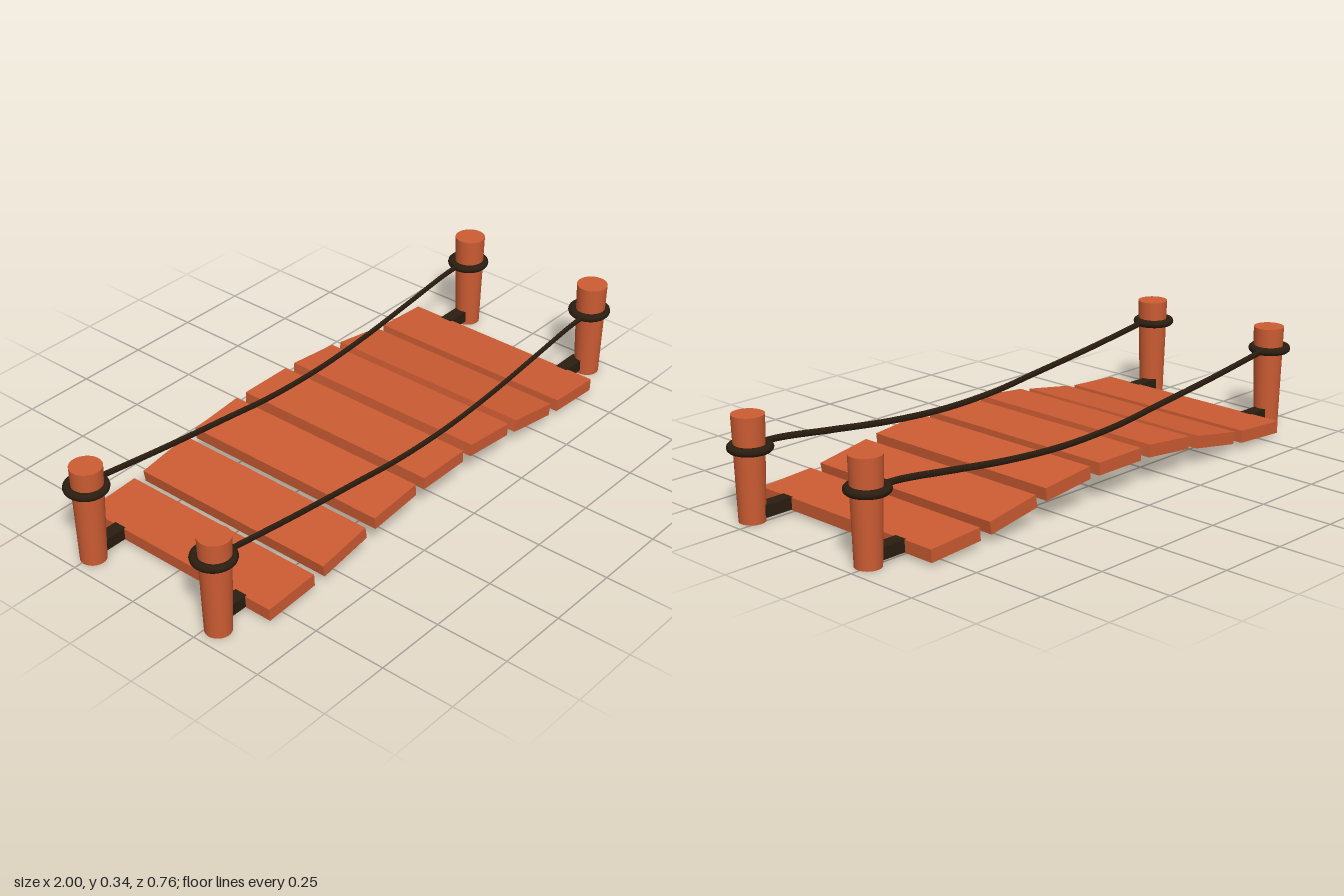
import * as THREE from 'three';

const wood = new THREE.MeshStandardMaterial({ color: 0xcc5c33 });
const dark = new THREE.MeshStandardMaterial({ color: 0x2b1d10 });

function add(parent, name, geometry, material, x = 0, y = 0, z = 0) {
  const mesh = new THREE.Mesh(geometry, material);
  mesh.name = name;
  mesh.position.set(x, y, z);
  parent.add(mesh);
  return mesh;
}

export function createModel() {
  const bridge = new THREE.Group();
  bridge.name = 'ropeBridge';

  // Arched deck of seven tilted planks, listed from the middle outwards
  const plankY = [0.112, 0.102, 0.067, 0.0385];
  const plankTilt = [0, 0.1, 0.165, 0.06];
  const plankGeometry = new THREE.BoxGeometry(0.197, 0.042, 0.756);
  for (let i = -3; i <= 3; i++) {
    const k = Math.abs(i);
    const plank = add(bridge, 'plank', plankGeometry, wood, i * 0.2378 - 0.003, plankY[k], 0);
    plank.rotation.z = -Math.sign(i) * plankTilt[k];
  }

  // Tapered posts with dark undersides, rope rings and short ties to the deck
  const postGeometry = new THREE.CylinderGeometry(0.052, 0.042, 0.34, 32);
  const ringGeometry = new THREE.TorusGeometry(0.058, 0.0138, 12, 40).rotateX(Math.PI / 2);
  const tieGeometry = new THREE.BoxGeometry(0.11, 0.04, 0.045);
  const sides = [
    { post: 0.28, ring: 0.275, tie: 0.26, rope: 0.287 },
    { post: -0.243, ring: -0.248, tie: -0.245, rope: -0.255 },
  ];
  for (const side of sides) {
    for (const s of [-1, 1]) {
      add(bridge, 'post', postGeometry, [wood, wood, dark], s * 0.928, 0.17, side.post);
      add(bridge, 'ropeRing', ringGeometry, dark, s * 0.928, s < 0 ? 0.264 : 0.237, side.ring);
      add(bridge, 'deckTie', tieGeometry, dark, s * 0.85, 0.034, side.tie);
    }

    // Sagging handrail rope, flattened sideways
    const path = new THREE.CatmullRomCurve3([
      [-0.88, 0.264], [-0.6, 0.226], [-0.3, 0.192], [-0.125, 0.173], [0.115, 0.166],
      [0.355, 0.18], [0.6, 0.209], [0.8, 0.234], [0.89, 0.238],
    ].map(([x, y]) => new THREE.Vector3(x, y, 0)));
    const ropeGeometry = new THREE.TubeGeometry(path, 60, 0.011, 10).scale(1, 1, 0.5);
    add(bridge, 'handrailRope', ropeGeometry, dark, 0, 0, side.rope);
  }
  return bridge;
}
